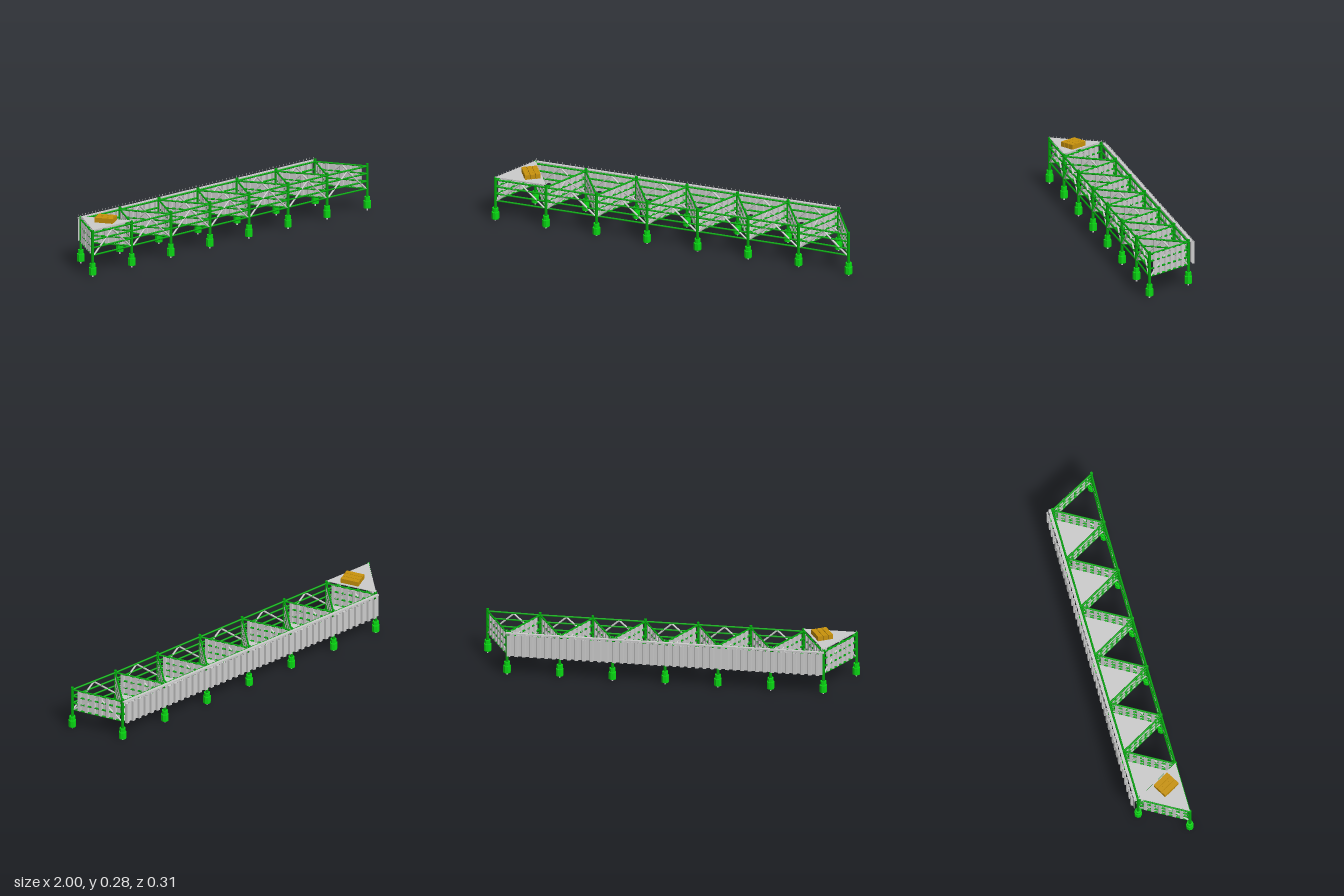
import * as THREE from 'three';

const mat = (color, extra = {}) => new THREE.MeshStandardMaterial({ color, ...extra });
const grey = mat(0xcccccc);
const greyFlat = mat(0xcccccc, { flatShading: true, side: THREE.DoubleSide });
const green = mat(0x00a80c);
const footGreen = mat(0x08d812, { flatShading: true });
const amber = mat(0xc8920c);

const V = (x, y, z) => new THREE.Vector3(x, y, z);
const LEVELS = [0.118, 0.158, 0.2, 0.24];
const UP = V(0, 1, 0);

function add(parent, name, geometry, material) {
  const mesh = new THREE.Mesh(geometry, material);
  mesh.name = name;
  parent.add(mesh);
  return mesh;
}

// Round bar between two points
function bar(parent, name, a, b, radius, material) {
  const d = b.clone().sub(a);
  const m = add(parent, name, new THREE.CylinderGeometry(radius, radius, d.length(), 8), material);
  m.position.copy(a).add(b).multiplyScalar(0.5);
  m.quaternion.setFromUnitVectors(UP, d.normalize());
  return m;
}

// Upright standing on an octagonal foot
function post(x, z) {
  const g = new THREE.Group();
  g.name = 'post';
  g.position.set(x, 0, z);
  const stack = [
    ['column', 0.0078, 0.07, 0.255, 12, green],
    ['footCollar', 0.0165, 0.055, 0.075, 8, footGreen],
    ['footNeck', 0.011, 0.05, 0.057, 8, footGreen],
    ['foot', 0.0205, 0.013, 0.052, 8, footGreen],
    ['footPin', 0.0045, 0, 0.014, 8, grey],
  ];
  for (const [name, r, y0, y1, sides, m] of stack) {
    const part = add(g, name, new THREE.CylinderGeometry(r, r, y1 - y0, sides), m);
    part.position.y = (y0 + y1) / 2;
    part.rotation.y = Math.PI / 8;
  }
  return g;
}

// Corrugated sheet from a to b (x, z pairs), folded to the given depth
function corrugated(parent, name, a, b, pitches, depth, offset = 0) {
  const length = Math.hypot(b[0] - a[0], b[1] - a[1]);
  const p = length / pitches, t = 0.0015, line = [];
  for (let i = 0; i < pitches; i++) {
    line.push([i * p, 0], [(i + 0.4) * p, 0], [(i + 0.5) * p, depth], [(i + 0.9) * p, depth]);
  }
  line.push([length, 0]);
  const outline = [...line, ...line.slice().reverse().map(([x, y]) => [x, y + t])];
  const shape = new THREE.Shape(outline.map(([x, y]) => new THREE.Vector2(x, y + offset)));
  const geo = new THREE.ExtrudeGeometry(shape, { depth: 0.122, bevelEnabled: false });
  geo.rotateX(-Math.PI / 2);
  const m = add(parent, name, geo, greyFlat);
  m.position.set(a[0], 0.118, a[1]);
  m.rotation.y = -Math.atan2(b[1] - a[1], b[0] - a[0]);
}

// Horizontal slab through x, z corners
function slab(parent, name, corners, top, thickness) {
  const shape = new THREE.Shape(corners.map(([x, z]) => new THREE.Vector2(x, z)));
  const geo = new THREE.ExtrudeGeometry(shape, { depth: thickness, bevelEnabled: false });
  geo.rotateX(Math.PI / 2);
  add(parent, name, geo, greyFlat).position.y = top;
}

// One truss bay: four rails and a pair of braces meeting at the top
function truss(a, b) {
  const g = new THREE.Group();
  g.name = 'trussBay';
  const at = (t, y) => V(a[0] + (b[0] - a[0]) * t, y, a[1] + (b[1] - a[1]) * t);
  for (const y of LEVELS) bar(g, 'rail', at(0, y), at(1, y), 0.005, green);
  bar(g, 'brace', at(0.03, 0.118), at(0.5, 0.237), 0.005, grey);
  bar(g, 'brace', at(0.97, 0.118), at(0.5, 0.237), 0.005, grey);
  return g;
}

// Row of small pins along an edge
function pins(parent, a, b, count) {
  for (let i = 0; i <= count; i++) {
    const t = i / count;
    const m = add(parent, 'edgePin', new THREE.BoxGeometry(0.002, 0.008, 0.002), grey);
    m.position.set(a[0] + (b[0] - a[0]) * t, 0.259, a[1] + (b[1] - a[1]) * t);
  }
}

export function createModel() {
  const model = new THREE.Group();
  model.name = 'trussWalkway';

  // Post positions: eight in front, seven behind, staggered
  const front = [], back = [];
  for (let i = 0; i < 8; i++) front.push([-0.98 + i * 0.28, i === 7 ? 0.127 : 0.118]);
  for (let i = 0; i < 7; i++) back.push([-0.84 + i * 0.28, -0.125]);
  for (const [x, z] of [...front, ...back]) model.add(post(x, z));

  // Front and back chords
  for (let i = 0; i < 7; i++) model.add(truss(front[i], front[i + 1]));
  for (let i = 0; i < 6; i++) model.add(truss(back[i], back[i + 1]));

  // Zigzag diagonals with corrugated partitions
  const mix = (a, b, t) => [a[0] + (b[0] - a[0]) * t, a[1] + (b[1] - a[1]) * t];
  for (let i = 0; i < 7; i++) {
    for (const [a, b] of [[front[i], back[i]], [back[i], front[i + 1]]]) {
      model.add(truss(a, b));
      corrugated(model, 'partition', mix(a, b, 0.06), mix(a, b, 0.9), 6, 0.008, -0.004);
    }
  }

  // Floor plates against the back wall
  for (let i = 0; i < 6; i++) slab(model, 'floorPlate', [back[i], back[i + 1], front[i + 1]], 0.117, 0.004);

  // Long corrugated back wall with its cap
  corrugated(model, 'backWall', [-0.84, -0.146], [0.84, -0.146], 42, 0.012);
  const cap = add(model, 'backWallCap', new THREE.BoxGeometry(1.69, 0.008, 0.014), grey);
  cap.position.set(0, 0.244, -0.139);
  pins(model, [-0.84, -0.14], [0.84, -0.14], 70);

  // Raised end deck on two joists
  slab(model, 'endDeck', [front[0], front[1], back[0]], 0.256, 0.003);
  for (const [z, w] of [[0.09, 0.21], [-0.095, 0.03]]) {
    const joist = add(model, 'deckJoist', new THREE.BoxGeometry(w, 0.009, 0.035), grey);
    joist.position.set(-0.84, 0.2495, z);
  }
  pins(model, front[0], back[0], 14);

  // Crates resting on the deck
  const crates = new THREE.Group();
  crates.name = 'crateStack';
  crates.position.set(-0.81, 0.2695, 0.036);
  crates.rotation.y = Math.PI / 6;
  for (let i = -1; i <= 1; i++) {
    add(crates, 'crate', new THREE.BoxGeometry(0.026, 0.026, 0.1), amber).position.x = i * 0.029;
    for (const z of [-0.02, 0.02]) {
      add(crates, 'crateStrap', new THREE.BoxGeometry(0.0275, 0.0272, 0.004), amber).position.set(i * 0.029, 0, z);
    }
  }
  model.add(crates);
  return model;
}
